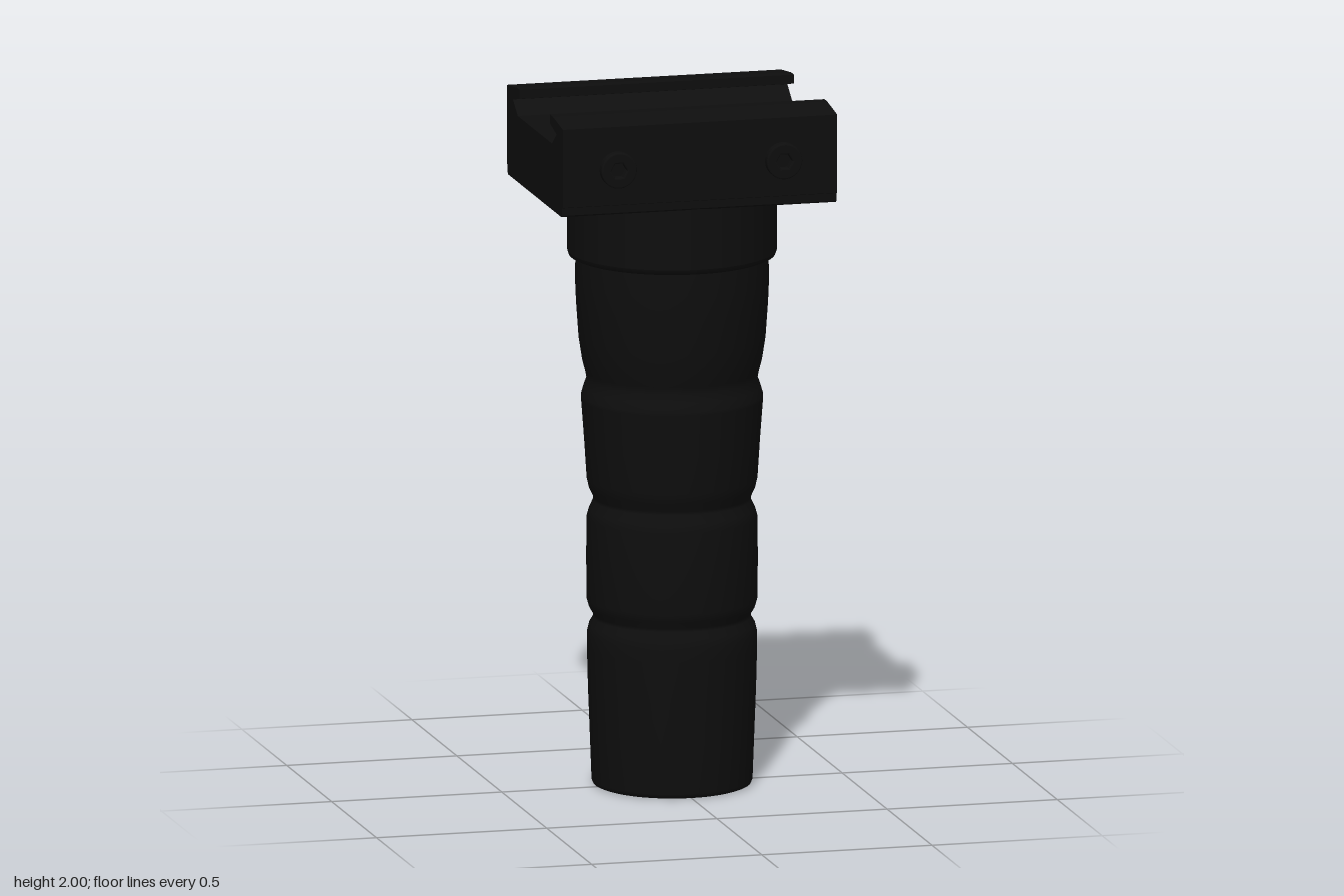
import * as THREE from 'three';

export function createModel() {
  const model = new THREE.Group();
  const black = new THREE.MeshStandardMaterial({ color: 0x0e0e0e });
  black.name = 'matte black';

  function add(geometry, name, parent = model) {
    const mesh = new THREE.Mesh(geometry, black);
    mesh.name = name;
    parent.add(mesh);
    return mesh;
  }
  const lathe = (points) =>
    new THREE.LatheGeometry(points.map(([r, y]) => new THREE.Vector2(r, y)), 64);

  // Tapered handle with three finger grooves
  add(lathe([
    [0, 0], [0.215, 0], [0.215, 0], [0.225, 0.004], [0.229, 0.015],
    [0.234, 0.15], [0.239, 0.28], [0.242, 0.4], [0.242, 0.44],
    [0.236, 0.465], [0.224, 0.485], [0.224, 0.495], [0.236, 0.515], [0.243, 0.54],
    [0.244, 0.66], [0.243, 0.775],
    [0.236, 0.8], [0.224, 0.825], [0.224, 0.835], [0.236, 0.86], [0.243, 0.89],
    [0.25, 1.0], [0.259, 1.12], [0.259, 1.13],
    [0.252, 1.155], [0.243, 1.18], [0.247, 1.2], [0.256, 1.235],
    [0.266, 1.3], [0.273, 1.4], [0.276, 1.47], [0.274, 1.55],
  ]), 'handle');

  // Round collar under the clamp
  add(lathe([
    [0, 1.537], [0.285, 1.537], [0.285, 1.537], [0.294, 1.541], [0.298, 1.553],
    [0.298, 1.553], [0.298, 1.74],
  ]), 'collar');

  // Rail clamp: one half of the (z, y) section, mirrored, then swept along x
  const half = [
    [0.296, 1.728], [0.303, 1.733], [0.303, 1.755], [0.312, 1.758], [0.312, 1.985],
    [0.2, 2], [0.17, 2], [0.17, 1.974], [0.243, 1.957], [0.19, 1.92],
  ];
  const section = [...half, ...half.map(([z, y]) => [-z, y]).reverse()];
  const clamp = new THREE.ExtrudeGeometry(
    new THREE.Shape(section.map(([z, y]) => new THREE.Vector2(z, y))),
    { depth: 0.806, bevelEnabled: false });
  clamp.translate(0, 0, -0.403);
  clamp.rotateY(Math.PI / 2);
  add(clamp, 'railClamp');

  // Socket screws: discs with hexagonal recesses on both long sides
  const disc = new THREE.Shape().absarc(0, 0, 0.048, 0, Math.PI * 2, false);
  const hex = [];
  for (let i = 0; i < 6; i++) {
    const a = -i * Math.PI / 3;
    hex.push(new THREE.Vector2(0.028 * Math.cos(a), 0.028 * Math.sin(a)));
  }
  disc.holes.push(new THREE.Path(hex));
  const screwGeometry = new THREE.ExtrudeGeometry(disc, {
    depth: 0.022, bevelThickness: 0.004, bevelSize: 0.004, bevelSegments: 2, curveSegments: 24,
  });
  for (const side of [1, -1]) {
    for (const x of [0.243, -0.243]) {
      const screw = add(screwGeometry, 'clampScrew');
      screw.position.set(x, 1.862, side * 0.311);
      if (side < 0) screw.rotation.y = Math.PI;
    }
  }
  return model;
}
